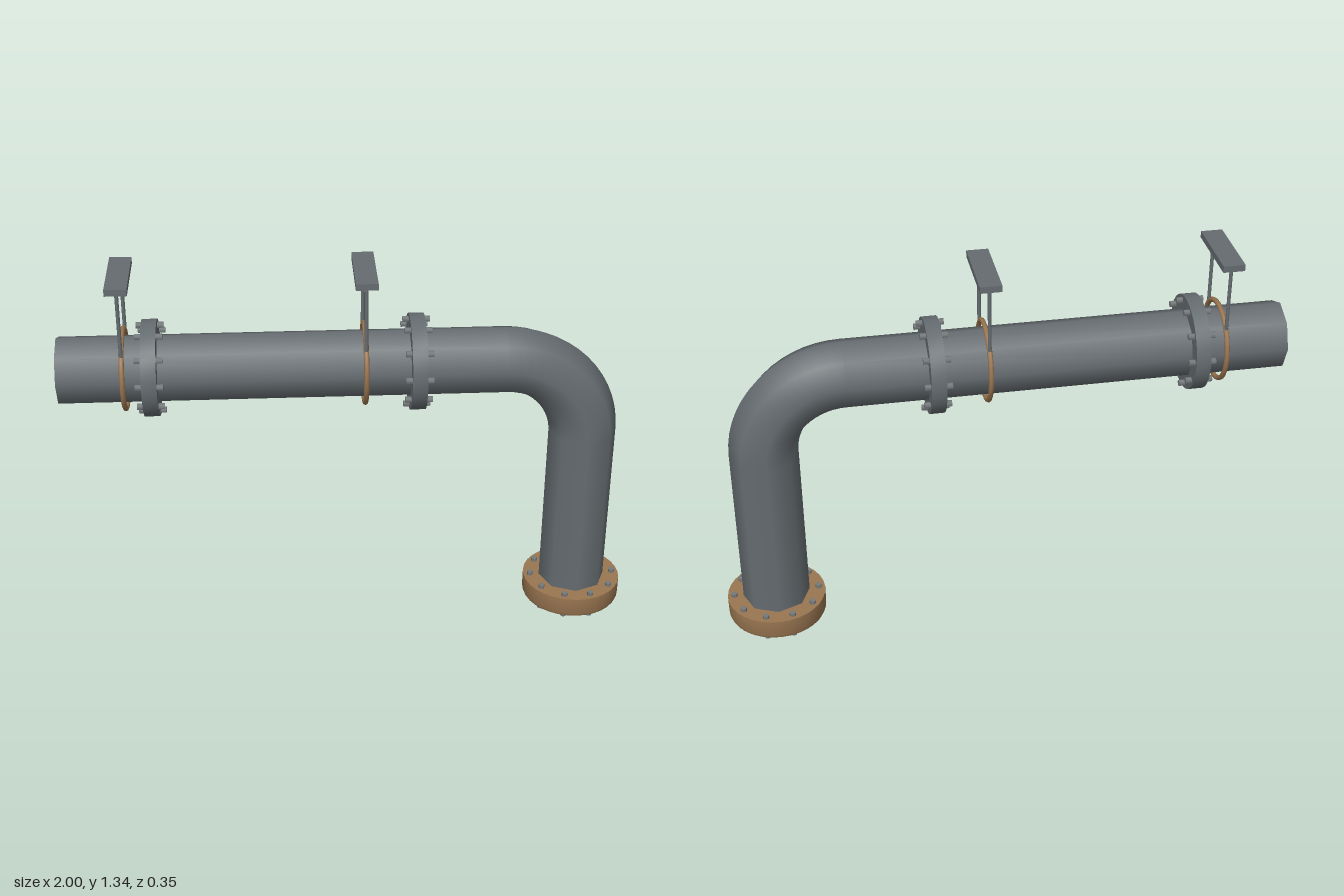
import * as THREE from 'three';
import { toCreasedNormals } from 'three/addons/utils/BufferGeometryUtils.js';

const AXIS_Y = 0.988, DROP_X = 0.82, BEND = 0.288, ARC_STEPS = 14;

// Pipe centre line: one straight run, a quarter bend, one straight drop
class PipePath extends THREE.Curve {
  angle(t) {
    return THREE.MathUtils.clamp((t * (ARC_STEPS + 2) - 1) / ARC_STEPS, 0, 1) * Math.PI / 2;
  }
  getPointAt(t, target = new THREE.Vector3()) {
    if (t <= 0) return target.set(-1, AXIS_Y, 0);
    if (t >= 1) return target.set(DROP_X, 0.075, 0);
    const a = this.angle(t);
    return target.set(DROP_X - BEND + BEND * Math.sin(a), AXIS_Y - BEND + BEND * Math.cos(a), 0);
  }
  getPoint(t, target) { return this.getPointAt(t, target); }
  getTangentAt(t, target = new THREE.Vector3()) {
    const a = this.angle(t);
    return target.set(Math.cos(a), -Math.sin(a), 0);
  }
}

export function createModel() {
  const model = new THREE.Group();
  model.name = 'pipeline';
  const mat = (name, color, side = THREE.FrontSide) => {
    const m = new THREE.MeshStandardMaterial({ color, side });
    m.name = name;
    return m;
  };
  const steel = mat('pipe steel', 0x656c70, THREE.DoubleSide);
  const brown = mat('rusty brown', 0x9a7651);
  const boltMetal = mat('bolt metal', 0x74797b);

  const add = (parent, name, geometry, material, x = 0, y = 0, z = 0) => {
    const mesh = new THREE.Mesh(geometry, material);
    mesh.name = name;
    mesh.position.set(x, y, z);
    parent.add(mesh);
    return mesh;
  };
  // Ring turned from a closed profile, with crisp edges
  const ring = (profile) => toCreasedNormals(
    new THREE.LatheGeometry(profile.map(([r, y]) => new THREE.Vector2(r, y)), 32), 0.6);
  // Ten bolts around the local y axis
  const boltCircle = (parent, radius, length, y) => {
    const geo = toCreasedNormals(new THREE.CylinderGeometry(0.011, 0.011, length, 8), 0.9);
    for (let i = 0; i < 10; i++) {
      const a = i * Math.PI / 5;
      add(parent, 'bolt', geo, boltMetal, radius * Math.cos(a), y, radius * Math.sin(a));
    }
  };

  // Eight-sided bent pipe, open at both ends
  add(model, 'pipe', new THREE.TubeGeometry(new PipePath(), ARC_STEPS + 2, 0.12, 8), steel);

  // Bolted flanges on the horizontal run
  const flangeGeo = ring([[0.113, -0.026], [0.167, -0.026], [0.167, 0.026], [0.113, 0.026], [0.113, -0.026]]);
  for (const x of [-0.685, 0.225]) {
    const flange = new THREE.Group();
    flange.name = 'flange';
    add(flange, 'flangeRing', flangeGeo, steel);
    boltCircle(flange, 0.147, 0.094, 0);
    flange.position.set(x, AXIS_Y, 0);
    flange.rotation.z = Math.PI / 2;
    flange.rotation.order = 'ZYX';
    flange.rotation.y = Math.PI / 2;
    model.add(flange);
  }

  // Collar at the foot, rounded along its lower edge
  const collar = new THREE.Group();
  collar.name = 'footCollar';
  collar.position.x = DROP_X;
  add(collar, 'collarRing', ring([[0.111, 0.009], [0.163, 0.009], [0.172, 0.013], [0.177, 0.024],
    [0.177, 0.087], [0.111, 0.087], [0.111, 0.009]]), brown);
  boltCircle(collar, 0.153, 0.1, 0.05);
  model.add(collar);

  // Hangers: ring, two rods and a ceiling plate
  const hoopGeo = new THREE.TorusGeometry(0.138, 0.009, 8, 32).rotateY(Math.PI / 2);
  const rodGeo = new THREE.CylinderGeometry(0.0065, 0.0065, 0.25, 8);
  const plateGeo = new THREE.BoxGeometry(0.075, 0.023, 0.27);
  for (const x of [-0.775, 0.045]) {
    const hanger = new THREE.Group();
    hanger.name = 'hanger';
    hanger.position.x = x;
    add(hanger, 'hangerRing', hoopGeo, brown, 0, AXIS_Y, 0);
    for (const z of [-0.105, 0.105]) add(hanger, 'hangerRod', rodGeo, steel, 0, 1.2, z);
    add(hanger, 'hangerPlate', plateGeo, steel, 0, 1.33, 0);
    model.add(hanger);
  }
  return model;
}
